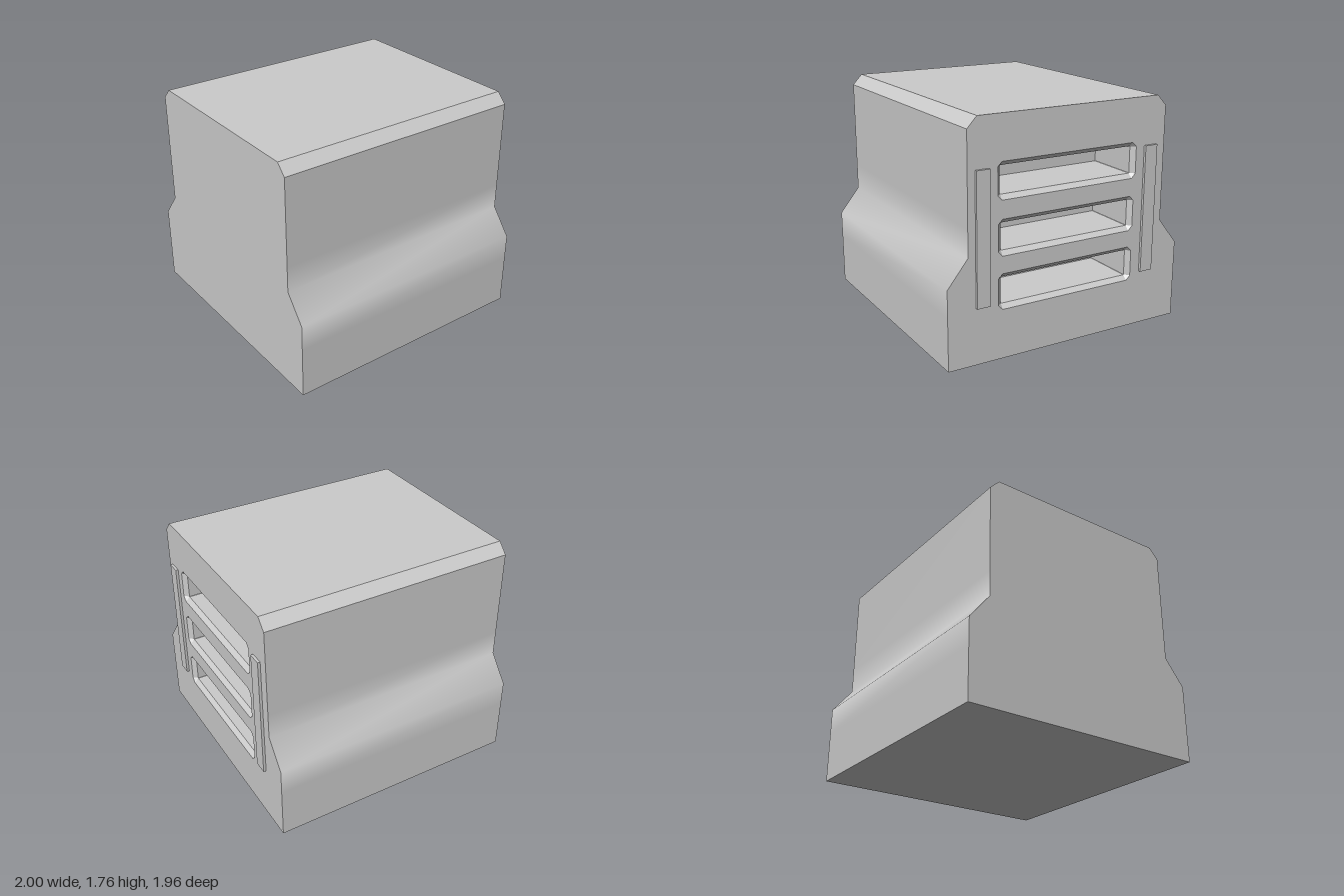
import * as THREE from 'three';

const X0 = -1, X1 = 0.98; // ends of the body
const grey = () => new THREE.MeshStandardMaterial({ color: 0xcccccc });

function mesh(name, geometry) {
  const m = new THREE.Mesh(geometry, grey());
  m.name = name;
  return m;
}

// Quad strips between successive rows of points, all rows equally long
function loft(rows) {
  const n = rows[0].length, index = [];
  for (let r = 0; r < rows.length - 1; r++) {
    for (let i = 0; i < n - 1; i++) {
      const a = r * n + i, b = a + 1, c = a + n, d = c + 1;
      index.push(a, b, d, a, d, c);
    }
  }
  const g = new THREE.BufferGeometry();
  g.setAttribute('position', new THREE.Float32BufferAttribute(rows.flat(2), 3));
  g.setIndex(index);
  return g;
}

// Skin running the length of the body along a [z, y] path
function skin(name, path) {
  const g = loft(path.map(([z, y]) => [[X0, y, z], [X1, y, z]]));
  g.computeVertexNormals();
  return mesh(name, g);
}

// Rectangle with cut corners, as [z, y] points
function cutRect(z0, z1, y0, y1, c) {
  return [
    [z0 + c, y0], [z1 - c, y0], [z1, y0 + c], [z1, y1 - c],
    [z1 - c, y1], [z0 + c, y1], [z0, y1 - c], [z0, y0 + c],
  ];
}

const toShape = (pts) => new THREE.Shape(pts.map(([z, y]) => new THREE.Vector2(-z, y)));

// Flat panel facing +x
function panel(name, shape, x) {
  const g = new THREE.ShapeGeometry(shape);
  g.rotateY(Math.PI / 2);
  g.translate(x, 0, 0);
  return mesh(name, g);
}

export function createModel() {
  const model = new THREE.Group();
  model.name = 'housing';

  // Stepped front and back walls, softly shaded across the step
  const wall = [[0.98, 0], [0.98, 0.4], [0.98, 0.6], [0.82, 0.8], [0.82, 1], [0.82, 1.68]];
  const backWall = wall.map(([z, y]) => [-z, y]).reverse();
  model.add(
    skin('frontWall', wall),
    skin('frontTopChamfer', [[0.82, 1.68], [0.745, 1.76]]),
    skin('top', [[0.745, 1.76], [-0.745, 1.76]]),
    skin('backTopChamfer', [[-0.745, 1.76], [-0.82, 1.68]]),
    skin('backWall', backWall),
    skin('bottom', [[-0.98, 0], [0.98, 0]]),
  );

  // End panels
  const outline = [...wall, [0.745, 1.76], [-0.745, 1.76], ...backWall];
  const right = panel('rightPanel', toShape(outline), 0);
  right.rotation.y = Math.PI;
  right.position.x = X0;
  model.add(right);
  const ventedShape = toShape(outline);

  // Deep vents with bevelled mouths: z0, z1, y0, y1 of the mouth
  const bevel = 0.033, depth = 0.45;
  const vents = [
    [-0.565, 0.59, 1.165, 1.433],
    [-0.555, 0.585, 0.765, 1.03],
    [-0.555, 0.585, 0.372, 0.637],
  ];
  for (const [z0, z1, y0, y1] of vents) {
    const mouth = cutRect(z0, z1, y0, y1, bevel);
    const inner = cutRect(z0 + bevel, z1 - bevel, y0 + bevel, y1 - bevel, 0.002);
    ventedShape.holes.push(new THREE.Path(mouth.map(([z, y]) => new THREE.Vector2(-z, y))));
    const ring = (pts, x) => [...pts, pts[0]].map(([z, y]) => [x, y, z]);
    const g = loft([ring(mouth, X1), ring(inner, X1 - bevel), ring(inner, X1 - depth)]).toNonIndexed();
    g.computeVertexNormals();
    const liner = mesh('ventLiner', g);
    liner.material.side = THREE.DoubleSide;
    const vent = new THREE.Group();
    vent.name = 'vent';
    vent.add(liner, panel('ventBack', toShape(inner), X1 - depth));
    model.add(vent);
  }
  model.add(panel('leftPanel', ventedShape, X1));

  // Raised rails either side of the vents
  for (const z of [0.71, -0.69]) {
    const rail = mesh('rail', new THREE.BoxGeometry(0.02, 0.975, 0.105));
    rail.position.set(0.99, 0.912, z);
    model.add(rail);
  }
  return model;
}
